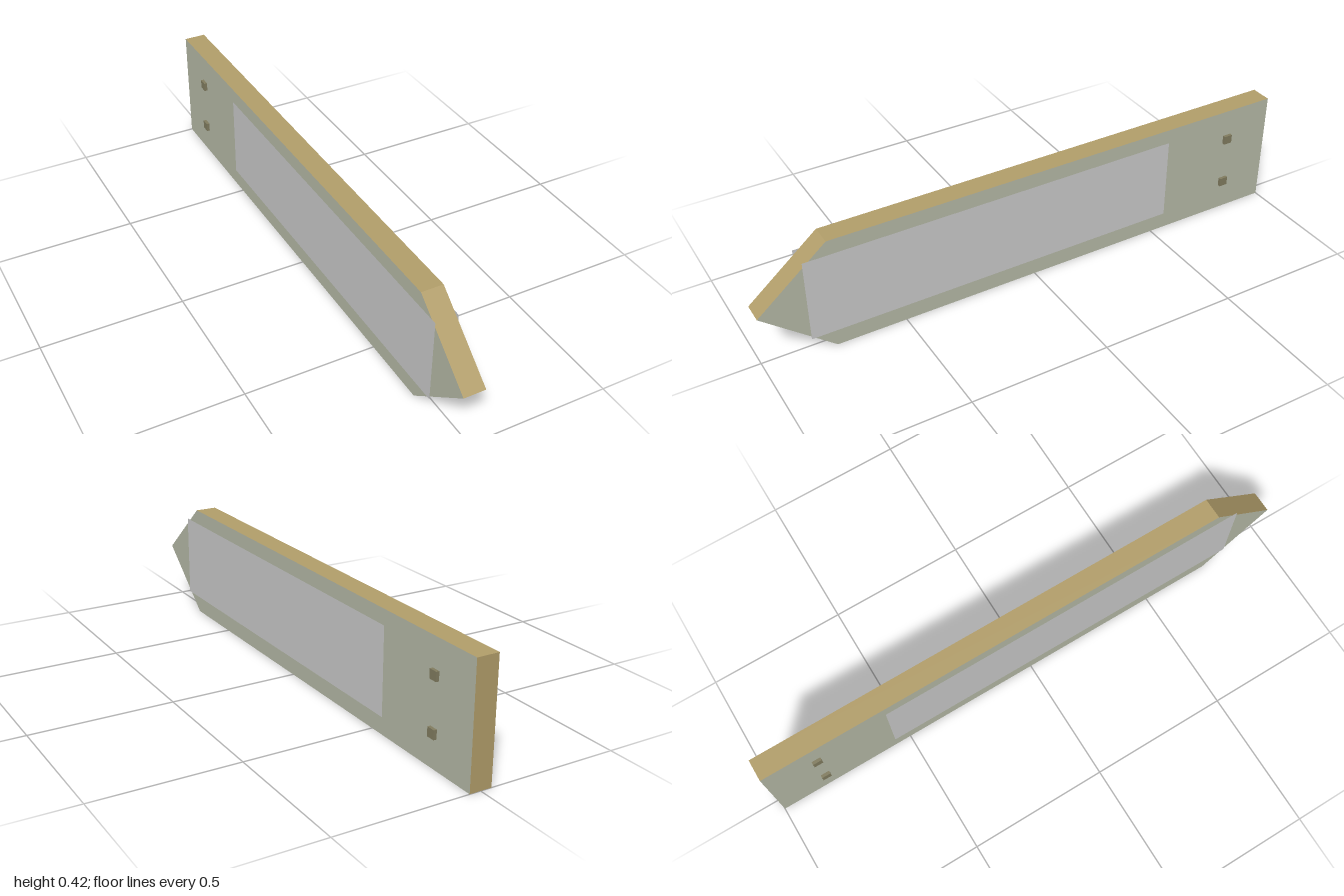
import * as THREE from 'three';

export function createModel() {
  const model = new THREE.Group();
  const paint = (color, side = THREE.FrontSide) =>
    new THREE.MeshStandardMaterial({ color, side, flatShading: true });

  const halfThickness = 0.039;
  const height = 0.418;

  // Arrow-shaped board: outline drawn as (z, y), extruded across x
  const outline = new THREE.Shape([
    new THREE.Vector2(-1, 0),
    new THREE.Vector2(0.75, 0),
    new THREE.Vector2(1, height / 2),
    new THREE.Vector2(0.75, height),
    new THREE.Vector2(-1, height),
  ]);
  const boardGeometry = new THREE.ExtrudeGeometry(outline, {
    depth: halfThickness * 2,
    bevelEnabled: false,
  });
  boardGeometry.translate(0, 0, -halfThickness).rotateY(-Math.PI / 2);
  const board = new THREE.Mesh(boardGeometry, [paint(0xb7bba8), paint(0xb39f6b)]);
  board.name = 'arrowBoard';
  model.add(board);

  // A thin text panel on each face, overhanging the pointed end
  const panelGeometry = new THREE.PlaneGeometry(1.39, 0.305);
  const panelMaterial = paint(0xcccccc, THREE.DoubleSide);
  for (const [side, label] of [[1, 'left'], [-1, 'right']]) {
    const panel = new THREE.Mesh(panelGeometry, panelMaterial);
    panel.rotation.y = side * Math.PI / 2;
    panel.position.set(side * (halfThickness + 0.001), 0.2125, 0.14);
    panel.name = label + 'Panel';
    model.add(panel);
  }

  // Square pegs passing through the board near its back end
  const pegGeometry = new THREE.BoxGeometry(0.1, 0.032, 0.032);
  const pegMaterial = paint(0x827d60);
  for (const [y, label] of [[0.118, 'lower'], [0.302, 'upper']]) {
    const peg = new THREE.Mesh(pegGeometry, pegMaterial);
    peg.position.set(0, y, -0.82);
    peg.name = label + 'Peg';
    model.add(peg);
  }

  return model;
}
